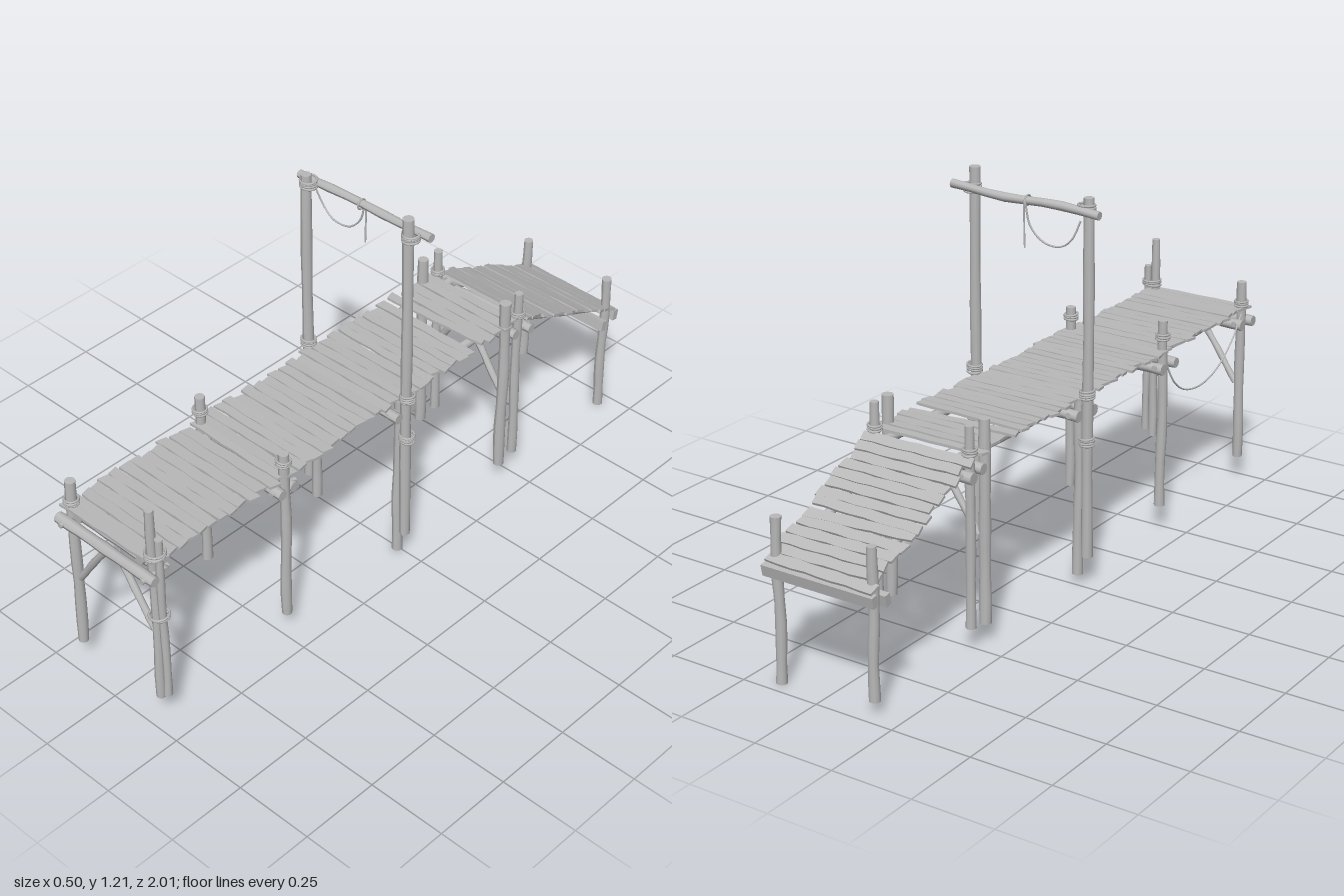
import * as THREE from 'three';

export function createModel() {
  const model = new THREE.Group();
  const wood = new THREE.MeshStandardMaterial({ color: 0xb8b8b8 });
  wood.name = 'weathered wood';
  const V = (x, y, z) => new THREE.Vector3(x, y, z);
  let seed = 7;
  const rnd = () => { // seeded value in -1..1
    seed = (seed * 16807) % 2147483647;
    return (seed / 2147483647) * 2 - 1;
  };
  const add = (name, geo, parent = model) => {
    const m = new THREE.Mesh(geo, wood);
    m.name = name;
    parent.add(m);
    return m;
  };

  // Slightly crooked round timber from a to b
  function log(name, a, b, r, wobble = 0.003) {
    const dir = b.clone().sub(a), len = dir.length();
    const geo = new THREE.CylinderGeometry(r * 0.95, r, len, 10, 8);
    const p = geo.attributes.position, f = rnd() * 3, g = rnd() * 3;
    for (let i = 0; i < p.count; i++) {
      const t = p.getY(i) / len + 0.5;
      const k = 1 + 0.07 * Math.sin(t * 17 + f);
      const env = wobble * Math.sin(t * Math.PI);
      p.setX(i, p.getX(i) * k + env * Math.sin(t * 6 + f));
      p.setZ(i, p.getZ(i) * k + env * Math.sin(t * 5 + g));
    }
    geo.computeVertexNormals();
    const m = add(name, geo);
    m.position.copy(a).add(b).multiplyScalar(0.5);
    m.quaternion.setFromUnitVectors(V(0, 1, 0), dir.normalize());
    return m;
  }
  const post = (name, x, z, y0, y1, r = 0.016, lean = 0) =>
    log(name, V(x, y0, z), V(x + lean, y1, z), r);

  // Rope coils wound around an upright post
  function lashing(x, y, z, r = 0.02, turns = 3) {
    for (let i = 0; i < turns; i++) {
      const m = add('lashing', new THREE.TorusGeometry(r, 0.0035, 6, 16));
      m.position.set(x, y + (i - (turns - 1) / 2) * 0.007, z);
      m.rotation.set(Math.PI / 2 + rnd() * 0.12, rnd() * 0.12, 0);
    }
  }
  const rope = (name, pts, r = 0.0028) =>
    add(name, new THREE.TubeGeometry(new THREE.CatmullRomCurve3(pts), 32, r, 6));

  // Split plank with ragged long edges and uneven ends
  function plank(parent, z, w, y = 0, yaw = rnd() * 0.015, shift = 0) {
    const x0 = -0.18 + rnd() * 0.01 + shift, x1 = 0.175 + rnd() * 0.01 + shift;
    const geo = new THREE.BoxGeometry(x1 - x0, 0.008, w, 8, 1, 1);
    const p = geo.attributes.position, f = rnd() * 9;
    for (let i = 0; i < p.count; i++) {
      const x = p.getX(i), s = Math.sign(p.getZ(i));
      p.setZ(i, p.getZ(i) + s * 0.0018 * Math.sin(x * 47 + f * s));
      if (Math.abs(x) > (x1 - x0) * 0.49) p.setX(i, x + 0.004 * Math.sin(s * f));
    }
    geo.computeVertexNormals();
    const m = add('plank', geo, parent);
    m.position.set((x0 + x1) / 2, y + rnd() * 0.0012, z);
    m.rotation.set(rnd() * 0.03, yaw, rnd() * 0.004);
  }

  // Level deck, with one loose plank beside a gap
  const deck = new THREE.Group();
  deck.name = 'deck';
  deck.position.y = 0.585;
  model.add(deck);
  for (let z = 0.968; z > -0.51;) {
    const w = 0.034 + rnd() * 0.005;
    if (z > -0.285 || z < -0.365) plank(deck, z, w - 0.003);
    z -= w;
  }
  plank(deck, -0.337, 0.03, 0.001, 0.06);

  // Sloping ramp
  const ramp = new THREE.Group();
  ramp.name = 'ramp';
  ramp.position.set(0, 0.581, -0.525);
  ramp.rotation.x = -Math.atan2(0.215, 0.465);
  model.add(ramp);
  for (let i = 0; i < 14; i++) plank(ramp, -0.018 - i * 0.0365, 0.033, 0, i === 8 ? 0.05 : rnd() * 0.02);

  // Stringers under deck and ramp
  for (const x of [-0.125, 0.118]) {
    log('deckStringer', V(x, 0.566, 0.975), V(x, 0.566, 0.02), 0.015);
    log('deckStringer', V(x, 0.566, 0.05), V(x, 0.566, -0.53), 0.015);
    log('rampStringer', V(x, 0.563, -0.51), V(x, 0.352, -0.975), 0.014);
  }

  // Paired cross beams, either side of each row of posts
  for (const [z, y, half] of [[0.985, 0.54, 0.195], [0.935, 0.537, 0.185], [0.51, 0.54, 0.195], [0.453, 0.535, 0.185],
    [0.045, 0.54, 0.2], [-0.02, 0.537, 0.19], [-0.485, 0.54, 0.185], [-0.545, 0.535, 0.195]])
    log('crossBeam', V(-half, y + rnd() * 0.003, z), V(half - 0.005, y + rnd() * 0.003, z), 0.017);
  for (const [z, y] of [[-0.985, 0.345], [-0.93, 0.33]]) {
    const m = add('rampEndBeam', new THREE.BoxGeometry(0.37, 0.034, 0.02));
    m.position.set(-0.01, y, z);
    m.rotation.x = -0.2;
  }

  // Front posts with extra pile on the left
  post('frontPost', 0.153, 0.96, 0.08, 0.755, 0.014);
  post('frontPile', 0.178, 0.955, 0.1, 0.665, 0.012);
  post('frontPost', -0.167, 0.96, 0.08, 0.67, 0.016, 0.004);
  lashing(0.165, 0.39, 0.958, 0.028, 2);
  lashing(0.165, 0.61, 0.958, 0.028, 3);
  lashing(-0.164, 0.6, 0.96);

  // Middle posts
  post('middlePost', 0.165, 0.48, 0.07, 0.66);
  post('middlePost', -0.163, 0.48, 0.08, 0.68);
  for (const s of [-1, 1]) lashing(s * 0.164, 0.63, 0.48);

  // Tall gate posts with short piles beside them
  post('gatePost', 0.192, 0.012, 0.09, 1.21, 0.017, -0.003);
  post('gatePost', -0.2, 0.012, 0.095, 1.18, 0.017, 0.004);
  for (const s of [-1, 1]) {
    post('gatePile', s * 0.166, 0.015, s > 0 ? 0.015 : 0.03, 0.58, 0.016);
    lashing(s * 0.196, 0.6, 0.012, 0.021, 4);
    lashing(s * 0.196, 0.455, 0.012, 0.021, 4);
    lashing(s * 0.193, 1.15, 0.005, 0.024, 4);
  }
  log('gateBeam', V(-0.25, 1.143, -0.018), V(0.247, 1.158, -0.018), 0.013, 0.006);

  // Rear posts, two on each side
  for (const s of [-1, 1]) {
    post('rearPost', s * 0.163, -0.45, 0.06, 0.67, 0.018);
    post('rearPost', s * 0.16, -0.515, 0.07, 0.67, 0.015);
    lashing(s * 0.16, 0.595, -0.515, 0.019);
  }

  // Ramp foot posts
  post('rampPost', 0.153, -0.955, 0, 0.49, 0.016);
  post('rampPost', -0.163, -0.955, 0.04, 0.485, 0.016);

  // Diagonal braces
  for (const z of [0.962, -0.46])
    for (const s of [-1, 1])
      log('brace', V(s * 0.012, 0.53, z), V(s * 0.15, 0.33, z), 0.011, 0.001);

  // Pegs through the beam ends
  for (const [z, y] of [[0.962, 0.54], [0.482, 0.54], [0.012, 0.54], [-0.515, 0.538]])
    for (const s of [-1, 1])
      log('peg', V(s * 0.162, y, z - 0.047), V(s * 0.162, y, z + 0.047), 0.009, 0);

  // Hanging ropes
  rope('gateRope', [V(-0.19, 1.12, -0.02), V(-0.17, 1.068, -0.03), V(-0.14, 1.041, -0.03), V(-0.108, 1.034, -0.03),
    V(-0.065, 1.045, -0.03), V(-0.03, 1.083, -0.033), V(-0.014, 1.15, -0.034)]);
  rope('ropeTail', [V(-0.012, 1.165, -0.022), V(-0.012, 1.15, -0.034), V(-0.011, 1.08, -0.034), V(-0.012, 1.015, -0.033)]);
  const knot = add('ropeLoop', new THREE.TorusGeometry(0.015, 0.003, 6, 16));
  knot.position.set(-0.012, 1.15, -0.018);
  knot.rotation.y = Math.PI / 2;
  rope('sideRope', [V(-0.17, 0.565, 0.95), V(-0.178, 0.5, 0.88), V(-0.178, 0.435, 0.79), V(-0.178, 0.411, 0.69),
    V(-0.178, 0.428, 0.59), V(-0.178, 0.475, 0.525), V(-0.17, 0.545, 0.49)]);

  return model;
}
